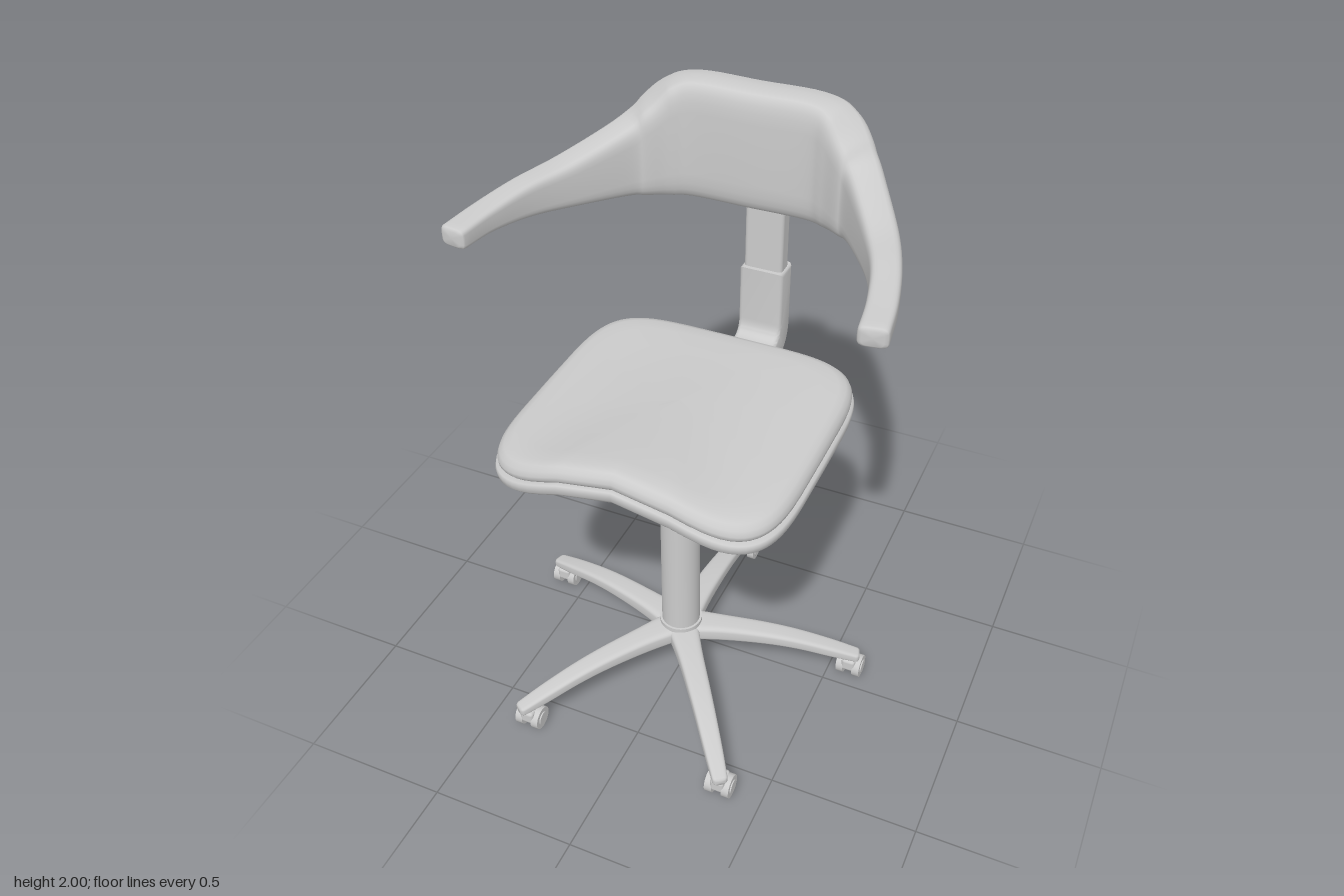
import * as THREE from 'three';
import { toCreasedNormals } from 'three/addons/utils/BufferGeometryUtils.js';
import { RoundedBoxGeometry } from 'three/addons/geometries/RoundedBoxGeometry.js';

const material = new THREE.MeshStandardMaterial({ color: 0xcccccc, roughness: 0.7 });
const COLUMN_Z = 0.135;

function add(parent, name, geometry, x = 0, y = 0, z = 0) {
  const mesh = new THREE.Mesh(geometry, material);
  mesh.name = name;
  mesh.position.set(x, y, z);
  parent.add(mesh);
  return mesh;
}

function cylinder(parent, name, radius, y0, y1, z, sides = 32) {
  return add(parent, name, new THREE.CylinderGeometry(radius, radius, y1 - y0, sides), 0, (y0 + y1) / 2, z);
}

// Unit outline between a circle (n = 2) and a square (large n)
function outline(n, count) {
  return Array.from({ length: count }, (_, j) => {
    const a = (j / count) * Math.PI * 2;
    const f = (v) => Math.sign(v) * Math.abs(v) ** (2 / n);
    return [f(Math.cos(a)), f(Math.sin(a))];
  });
}

// Skin over a list of closed rings with equal point counts
function loft(rings) {
  const n = rings[0].length, index = [];
  for (let i = 0; i < rings.length - 1; i++) {
    for (let j = 0; j < n; j++) {
      const a = i * n + j, b = i * n + (j + 1) % n;
      index.push(a, a + n, b, b, a + n, b + n);
    }
  }
  const g = new THREE.BufferGeometry();
  g.setAttribute('position', new THREE.Float32BufferAttribute(rings.flat(2), 3));
  g.setIndex(index);
  g.computeVertexNormals();
  return g;
}

// Bar along a ground-plane path; stations are [x, z, thickness, yLow, yHigh]
function sweep(stations, steps, power) {
  const curve = (pick) => new THREE.CatmullRomCurve3(
    stations.map((s) => new THREE.Vector3(...pick(s))), false, 'catmullrom', 0.5);
  const path = curve((s) => [s[0], 0, s[1]]);
  const size = curve((s) => [s[2], s[3], s[4]]);
  const section = outline(power, 28);
  const ring = (t, k, push) => {
    const p = path.getPoint(t), d = path.getTangent(t), s = size.getPoint(t);
    p.addScaledVector(d, push);
    return section.map(([u, v]) => {
      const w = u * k * s.x / 2;
      return [p.x - d.z * w, (s.y + s.z) / 2 + v * k * (s.z - s.y) / 2, p.z + d.x * w];
    });
  };
  const rings = [ring(0, 0, -0.012), ring(0, 0.7, -0.012), ring(0, 0.92, -0.006)];
  for (let i = 0; i <= steps; i++) rings.push(ring(i / steps, 1, 0));
  rings.push(ring(1, 0.92, 0.006), ring(1, 0.7, 0.012), ring(1, 0, 0.012));
  return loft(rings);
}

// Saddle lift: an arch across the seat that grows toward the front
function saddle(x, z) {
  const t = THREE.MathUtils.clamp((z + 0.353) / 0.97, 0, 1) ** 1.4;
  const c = Math.cos(Math.min(Math.abs(x) / 0.45, 1) * Math.PI / 2);
  return t * (0.1 * c * c - 0.008);
}

// Seat layer from a profile of [scale, height]
function seatLayer(profile) {
  const plan = outline(5, 72);
  return loft(profile.map(([s, y]) => plan.map(([u, v]) => {
    const x = 0.487 * s * u, z = 0.132 + 0.485 * s * v;
    return [x, y + saddle(x, z), z];
  })));
}

function addCaster(parent, x, z) {
  const caster = new THREE.Group();
  caster.name = 'caster';
  caster.position.set(x, 0, z);
  parent.add(caster);
  add(caster, 'casterStem', new THREE.CylinderGeometry(0.014, 0.014, 0.06, 12), 0, 0.085, 0.018);
  add(caster, 'casterHood', new RoundedBoxGeometry(0.05, 0.05, 0.07, 2, 0.012), 0, 0.06, 0.005);
  for (const side of [-1, 1]) {
    const wheel = new THREE.CylinderGeometry(0.041, 0.041, 0.026, 20).rotateZ(Math.PI / 2);
    add(caster, 'casterWheel', wheel, side * 0.03, 0.041, 0);
    const cap = new THREE.CylinderGeometry(0.025, 0.025, 0.008, 16).rotateZ(Math.PI / 2);
    add(caster, 'wheelCap', cap, side * 0.043, 0.041, 0);
  }
}

function addLever(parent, start, end, paddle) {
  const from = new THREE.Vector3(...start), dir = new THREE.Vector3(...end).sub(from);
  const length = dir.length();
  const lever = new THREE.Group();
  lever.name = 'lever';
  lever.position.copy(from);
  lever.quaternion.setFromUnitVectors(new THREE.Vector3(-1, 0, 0), dir.normalize());
  parent.add(lever);
  const rod = new THREE.CylinderGeometry(0.01, 0.01, length - paddle, 10).rotateZ(Math.PI / 2);
  add(lever, 'leverRod', rod, -(length - paddle) / 2);
  add(lever, 'leverPaddle', new RoundedBoxGeometry(paddle + 0.01, 0.016, 0.085, 3, 0.007), -length + paddle / 2);
}

export function createModel() {
  const chair = new THREE.Group();
  chair.name = 'chair';

  // Five-legged base with casters
  const base = new THREE.Group();
  base.name = 'base';
  chair.add(base);
  const legStations = [
    [0, 0, 0.12, 0.165, 0.228], [0.15, 0, 0.09, 0.162, 0.222], [0.3, 0, 0.078, 0.155, 0.207],
    [0.42, 0, 0.07, 0.138, 0.185], [0.54, 0, 0.062, 0.108, 0.152], [0.63, 0, 0.052, 0.088, 0.122],
  ];
  const legGeometry = sweep(legStations, 20, 4);
  for (let k = 0; k < 5; k++) {
    const angle = Math.PI / 2 + (k * Math.PI * 2) / 5;
    add(base, 'leg', legGeometry, 0, 0, COLUMN_Z).rotation.y = angle;
    addCaster(base, 0.608 * Math.cos(angle), COLUMN_Z - 0.02 - 0.608 * Math.sin(angle));
  }
  cylinder(base, 'hub', 0.075, 0.16, 0.24, COLUMN_Z);

  // Telescopic column
  cylinder(chair, 'columnSleeve', 0.067, 0.22, 0.7, COLUMN_Z);
  cylinder(chair, 'columnCollar', 0.058, 0.7, 0.83, COLUMN_Z);
  cylinder(chair, 'columnRod', 0.05, 0.83, 0.95, COLUMN_Z);

  // Bent support under the seat, drawn as z against y
  const side = new THREE.Shape();
  side.moveTo(0.435, 1.1);
  side.lineTo(-0.3, 1.05);
  side.lineTo(-0.3, 1.02);
  side.lineTo(-0.49, 1.02);
  side.quadraticCurveTo(-0.545, 1.02, -0.545, 1.08);
  side.lineTo(-0.545, 1.285);
  side.lineTo(-0.645, 1.285);
  side.lineTo(-0.645, 1.06);
  side.quadraticCurveTo(-0.645, 0.93, -0.52, 0.93);
  side.lineTo(0.36, 0.93);
  side.quadraticCurveTo(0.435, 0.93, 0.435, 1.0);
  const support = new THREE.ExtrudeGeometry(side, {
    depth: 0.13, bevelThickness: 0.015, bevelSize: 0.015, bevelOffset: -0.015, bevelSegments: 3, curveSegments: 12,
  }).translate(0, 0, -0.065).rotateY(-Math.PI / 2);
  add(chair, 'seatSupport', toCreasedNormals(support, 0.6));

  // Adjustment levers on the right side
  addLever(chair, [-0.05, 1.0, -0.01], [-0.36, 0.905, -0.012], 0.17);
  addLever(chair, [-0.05, 1.04, 0.135], [-0.272, 0.82, 0.135], 0.13);

  // Saddle seat: shell and cushion
  add(chair, 'seatShell', seatLayer([
    [0, 1.043], [0.2, 1.043], [0.4, 1.043], [0.6, 1.043], [0.8, 1.043], [0.94, 1.043],
    [0.975, 1.046], [0.995, 1.058], [1, 1.075], [0.995, 1.088], [0.97, 1.092], [0.9, 1.092],
  ]));
  add(chair, 'seatCushion', seatLayer([
    [0.9, 1.085], [0.965, 1.09], [0.982, 1.102], [0.984, 1.115], [0.972, 1.132], [0.945, 1.146],
    [0.9, 1.154], [0.8, 1.157], [0.6, 1.156], [0.4, 1.155], [0.2, 1.155], [0, 1.155],
  ]));

  // Back post and its housing
  add(chair, 'backPost', new RoundedBoxGeometry(0.14, 0.5, 0.07, 3, 0.015), 0, 1.48, -0.595);
  const housingPlan = outline(5, 40);
  const housing = [[0, 1.67], [0.97, 1.67], [1, 1.675], [1, 1.75], [1, 1.85], [0.97, 1.88],
    [0.88, 1.903], [0.7, 1.914], [0, 1.917]];
  add(chair, 'backHousing', loft(housing.map(([s, y]) =>
    housingPlan.map(([u, v]) => [0.09 * s * u, y, -0.588 + 0.06 * s * v]))));

  // Wrap-around backrest that tapers into the armrests
  const half = [
    [0.2, -0.463, 0.155, 1.59, 2.0], [0.29, -0.437, 0.16, 1.59, 1.975], [0.355, -0.39, 0.15, 1.597, 1.91],
    [0.41, -0.333, 0.127, 1.606, 1.85], [0.52, -0.15, 0.11, 1.63, 1.788], [0.588, 0.01, 0.094, 1.655, 1.77],
    [0.63, 0.17, 0.09, 1.675, 1.755], [0.651, 0.308, 0.09, 1.68, 1.747],
  ];
  const mirrored = half.map(([x, ...rest]) => [-x, ...rest]).reverse();
  add(chair, 'backrest', sweep([...mirrored, [0, -0.463, 0.155, 1.59, 2.0], ...half], 96, 4.5));

  return chair;
}
